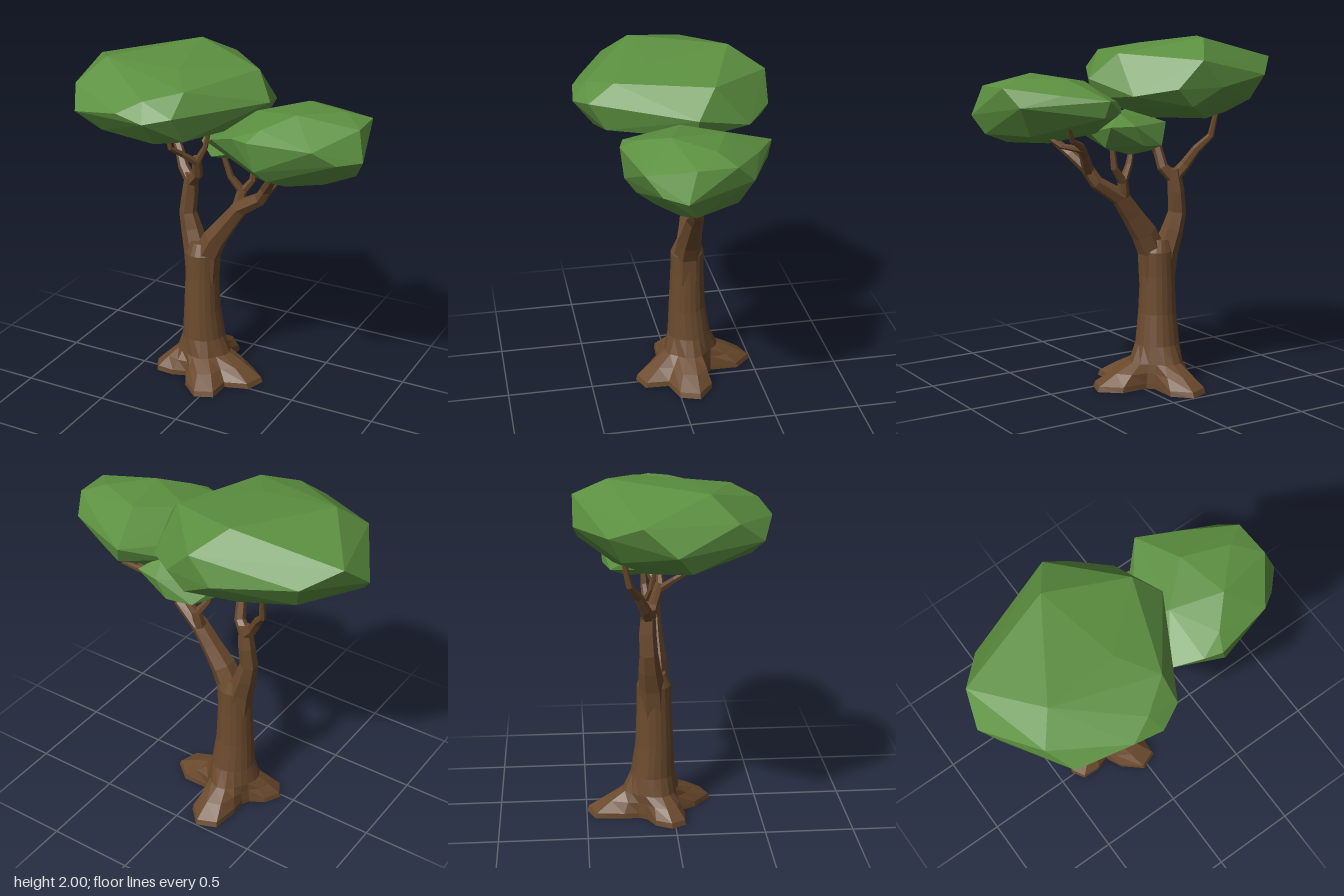
import * as THREE from 'three';
import { ConvexGeometry } from 'three/addons/geometries/ConvexGeometry.js';

const leaf = new THREE.MeshStandardMaterial({ color: 0x5c9040 });
leaf.name = 'leaf green';
// Double sided because the foot of the trunk is open.
const bark = new THREE.MeshStandardMaterial({ color: 0x6b4a2d, side: THREE.DoubleSide });
bark.name = 'bark brown';

// Faceted skin over a list of rings (bottom to top), closed at the tip.
function loft(rings) {
  const pos = [];
  const tri = (...pts) => pts.forEach((p) => pos.push(p.x, p.y, p.z));
  const n = rings[0].length;
  const last = rings[rings.length - 1];
  const tip = last.reduce((s, p) => s.add(p), new THREE.Vector3()).divideScalar(n);
  for (let i = 0; i < n; i++) {
    const j = (i + 1) % n;
    for (let k = 0; k < rings.length - 1; k++) {
      const lo = rings[k], up = rings[k + 1];
      tri(lo[i], up[i], up[j]);
      tri(lo[i], up[j], lo[j]);
    }
    tri(tip, last[j], last[i]);
  }
  const g = new THREE.BufferGeometry();
  g.setAttribute('position', new THREE.Float32BufferAttribute(pos, 3));
  g.computeVertexNormals();
  return g;
}

// Tapered limb through [x, y, z, radius] stations.
function limb(stations, sides = 6) {
  const pts = stations.map((s) => new THREE.Vector3(s[0], s[1], s[2]));
  const up = new THREE.Vector3(0, 1, 0);
  return loft(pts.map((p, k) => {
    const dir = pts[Math.min(k + 1, pts.length - 1)].clone().sub(pts[Math.max(k - 1, 0)]).normalize();
    const q = new THREE.Quaternion().setFromUnitVectors(up, dir);
    return Array.from({ length: sides }, (_, i) => {
      const a = ((i + 0.5) / sides) * Math.PI * 2, r = stations[k][3];
      return new THREE.Vector3(Math.cos(a) * r, 0, Math.sin(a) * r).applyQuaternion(q).add(p);
    });
  }));
}

// Trunk whose foot spreads into four roots.
function trunk() {
  const roots = [[-0.27, 0.13], [0.18, 0.33], [0.4, 0.04], [-0.03, -0.39]]
    .map(([x, z]) => ({ angle: Math.atan2(z, x), reach: Math.hypot(x, z) }));
  // height, centre x, centre z, radius, root spread
  const levels = [
    [0, -0.14, -0.11, 0.155, 1], [0.03, -0.14, -0.11, 0.155, 0.95], [0.09, -0.14, -0.115, 0.148, 0.52],
    [0.14, -0.145, -0.12, 0.142, 0.12], [0.24, -0.145, -0.115, 0.128, 0], [0.42, -0.15, -0.105, 0.11, 0],
    [0.64, -0.15, -0.105, 0.1, 0], [0.78, -0.147, -0.105, 0.098, 0], [0.85, -0.15, -0.11, 0.07, 0],
  ];
  const sides = 20;
  return loft(levels.map(([y, cx, cz, r, spread]) => Array.from({ length: sides }, (_, i) => {
    const a = (i / sides) * Math.PI * 2;
    let extra = 0;
    for (const { angle, reach } of roots) {
      const d = Math.abs(Math.atan2(Math.sin(a - angle), Math.cos(a - angle)));
      extra = Math.max(extra, (reach - r) * Math.max(0, 1 - (d / 0.65) ** 2));
    }
    const rad = r + extra * spread;
    return new THREE.Vector3(cx + Math.cos(a) * rad, y, cz + Math.sin(a) * rad);
  })));
}

const limbs = {
  rightLimb: [[-0.17, 0.6, -0.11, 0.08], [-0.195, 0.78, -0.12, 0.076], [-0.235, 0.9, -0.135, 0.063], [-0.262, 1.0, -0.14, 0.052],
    [-0.25, 1.12, -0.145, 0.048], [-0.235, 1.25, -0.14, 0.038]],
  rightOuterBranch: [[-0.24, 1.2, -0.14, 0.037], [-0.3, 1.27, -0.16, 0.032], [-0.35, 1.36, -0.2, 0.026],
    [-0.415, 1.44, -0.25, 0.02], [-0.43, 1.58, -0.28, 0.014]],
  rightInnerBranch: [[-0.24, 1.19, -0.14, 0.037], [-0.18, 1.26, -0.11, 0.032], [-0.165, 1.38, -0.07, 0.027]],
  rightInnerTwigA: [[-0.165, 1.35, -0.07, 0.024], [-0.22, 1.42, 0.01, 0.018], [-0.25, 1.47, 0.08, 0.015], [-0.26, 1.58, 0.1, 0.011]],
  rightInnerTwigB: [[-0.165, 1.35, -0.07, 0.024], [-0.11, 1.45, -0.07, 0.016], [-0.075, 1.6, -0.07, 0.011]],
  leftLimb: [[-0.13, 0.6, -0.1, 0.085], [-0.115, 0.78, -0.1, 0.082], [-0.06, 0.89, -0.1, 0.074], [0.02, 1.0, -0.1, 0.06],
    [0.1, 1.11, -0.1, 0.052], [0.24, 1.2, -0.08, 0.04], [0.3, 1.3, -0.05, 0.034]],
  leftFrontBranch: [[0.28, 1.27, -0.06, 0.034], [0.35, 1.36, 0.02, 0.028], [0.4, 1.42, 0.09, 0.022], [0.46, 1.5, 0.12, 0.014]],
  leftBackBranch: [[0.28, 1.26, -0.06, 0.034], [0.36, 1.38, -0.14, 0.026], [0.42, 1.43, -0.22, 0.02], [0.5, 1.47, -0.26, 0.015], [0.54, 1.55, -0.29, 0.011]],
  leftBackTwig: [[0.4, 1.41, -0.2, 0.02], [0.5, 1.43, -0.14, 0.015], [0.57, 1.49, -0.08, 0.011]],
  middleBranch: [[0.08, 1.07, -0.1, 0.04], [0.09, 1.15, -0.12, 0.034], [0.1, 1.22, -0.13, 0.028]],
  middleTwigA: [[0.1, 1.2, -0.13, 0.026], [0.04, 1.29, -0.1, 0.02], [0.0, 1.43, -0.08, 0.014]],
  middleTwigB: [[0.1, 1.2, -0.13, 0.026], [0.16, 1.28, -0.14, 0.021], [0.18, 1.44, -0.14, 0.014]],
};

// Corner points of each faceted foliage mass.
const foliage = {
  mainCanopy: [
    [-0.92, 1.73, -0.03], [-0.86, 1.87, -0.2], [-0.85, 1.63, 0.05], [-0.7, 1.78, -0.37], [-0.28, 1.74, -0.545],
    [0, 1.74, -0.53], [0.19, 1.7, -0.38], [0.29, 1.78, -0.08], [0.25, 1.67, -0.08], [0.17, 1.92, -0.19],
    [-0.02, 1.8, 0.47], [0, 1.65, 0.38], [-0.16, 1.77, 0.54], [-0.33, 1.8, 0.52], [-0.64, 1.74, 0.44],
    [-0.72, 1.85, 0.3], [-0.6, 1.98, 0.16], [-0.02, 1.91, 0.33], [-0.17, 1.955, 0.12], [-0.43, 1.53, 0.02],
    [-0.12, 1.54, -0.02], [-0.58, 1.56, -0.17], [-0.5, 1.64, 0.39], [-0.15, 1.63, 0.43], [-0.32, 1.55, -0.33],
    [0.1, 1.61, -0.15], [-0.1, 1.64, -0.52], [-0.65, 1.64, -0.3], [-0.28, 2, -0.36], [-0.15, 1.89, -0.545],
    [-0.72, 1.59, 0], [-0.2, 1.87, 0.46],
  ],
  leftCanopy: [
    [0.38, 1.69, -0.455], [0.4, 1.6, -0.43], [0.6, 1.72, -0.33], [0.81, 1.66, -0.26], [0.86, 1.76, -0.16],
    [0.915, 1.6, 0.1], [0.87, 1.76, 0.05], [0.81, 1.6, 0.21], [0.7, 1.68, 0.285], [0.36, 1.7, 0.36],
    [0.4, 1.54, 0.345], [0.45, 1.475, 0.29], [0.26, 1.7, 0.33], [0.1, 1.64, 0.25], [0.02, 1.58, 0.15],
    [0.11, 1.65, -0.1], [0.26, 1.76, 0.02], [0.54, 1.81, 0.12], [0.74, 1.8, -0.08], [0.48, 1.79, -0.18],
    [0.4, 1.75, 0.27], [0.14, 1.52, 0.12], [0.35, 1.45, 0.2], [0.52, 1.43, 0.2], [0.5, 1.43, 0],
    [0.7, 1.44, 0.1], [0.86, 1.5, 0.05], [0.72, 1.5, -0.2], [0.35, 1.5, -0.25], [0.15, 1.58, -0.22],
  ],
  lowerCanopy: [
    [-0.17, 1.46, -0.14], [-0.14, 1.53, -0.2], [-0.05, 1.42, -0.03], [0.1, 1.48, 0.03], [0.28, 1.46, -0.03],
    [0.35, 1.5, -0.18], [0.32, 1.54, -0.36], [0.18, 1.54, -0.39], [0.12, 1.43, -0.38], [-0.02, 1.42, -0.34],
    [0, 1.38, -0.24], [0.15, 1.375, -0.29], [0.2, 1.39, -0.15], [0.3, 1.42, -0.27], [0.1, 1.61, -0.15],
    [0, 1.56, -0.08], [0.22, 1.61, -0.27],
  ],
};

export function createModel() {
  const tree = new THREE.Group();
  tree.name = 'tree';
  const add = (name, geometry, material) => {
    const mesh = new THREE.Mesh(geometry, material);
    mesh.name = name;
    tree.add(mesh);
  };
  add('trunkWithRoots', trunk(), bark);
  for (const [name, stations] of Object.entries(limbs)) add(name, limb(stations), bark);
  for (const [name, corners] of Object.entries(foliage)) {
    add(name, new ConvexGeometry(corners.map((c) => new THREE.Vector3(...c))), leaf);
  }
  return tree;
}
